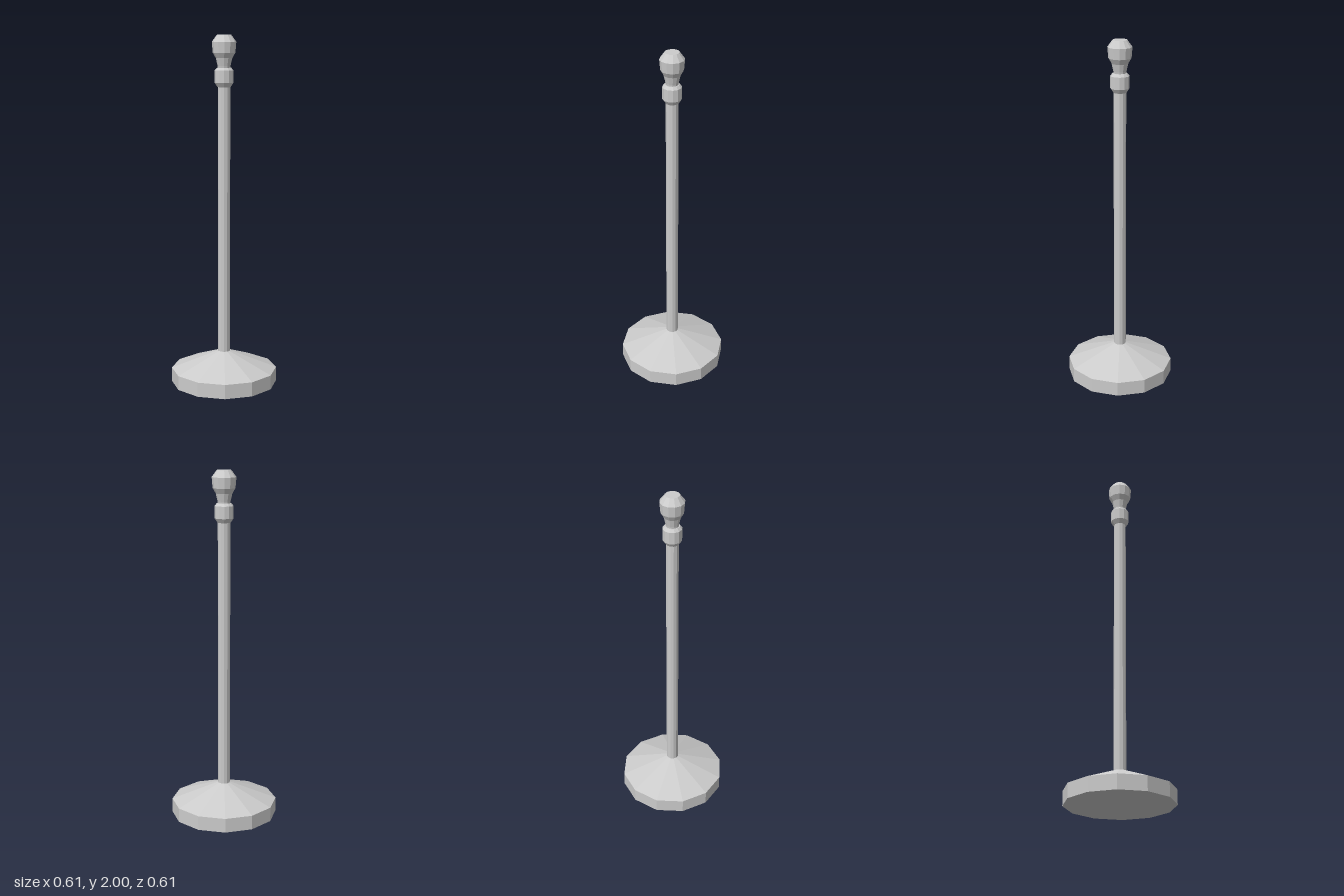
import * as THREE from 'three';

const SIDES = 12;

export function createModel() {
  const group = new THREE.Group();
  const material = new THREE.MeshStandardMaterial({ color: 0xcccccc, flatShading: true });

  // Turned part from [radius, height] pairs, listed bottom to top
  function turned(name, profile) {
    const points = profile.map(([r, y]) => new THREE.Vector2(r, y));
    const mesh = new THREE.Mesh(new THREE.LatheGeometry(points, SIDES), material);
    mesh.name = name;
    group.add(mesh);
  }

  // Weighted foot: short drum with a conical top
  turned('base', [[0, 0], [0.305, 0], [0.305, 0.083], [0.035, 0.187], [0, 0.187]]);

  // Slim upright
  turned('pole', [[0.035, 0.18], [0.035, 1.73]]);

  // Chamfered ring near the top
  turned('collar', [[0, 1.713], [0.037, 1.713], [0.053, 1.737], [0.053, 1.805], [0.04, 1.82], [0, 1.82]]);

  // Flared knob with a flat tip
  turned('finial', [[0.034, 1.815], [0.036, 1.83], [0.046, 1.873], [0.063, 1.902], [0.068, 1.962], [0.04, 2], [0, 2]]);

  return group;
}
